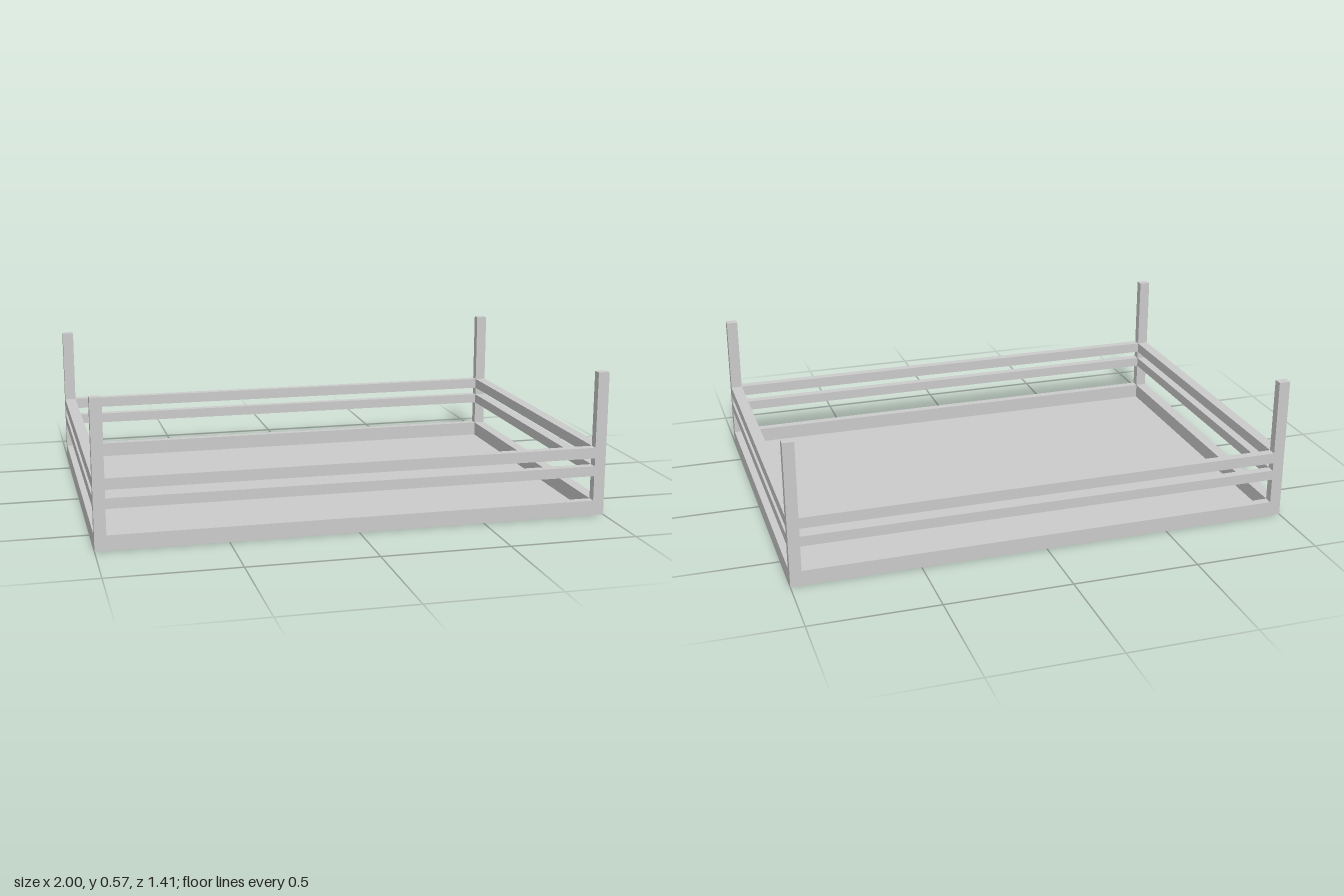
import * as THREE from 'three';

const HX = 1, HZ = 0.707;      // outer half sizes
const TX = 0.045, TZ = 0.035;  // post and rail thickness
const material = new THREE.MeshStandardMaterial({ color: 0xcccccc, side: THREE.DoubleSide });

function rectangle(path, x, z) {
  path.moveTo(-x, -z).lineTo(x, -z).lineTo(x, z).lineTo(-x, z).closePath();
  return path;
}

// Rectangular ring of rails between two heights
function ringGeometry(y0, y1) {
  const shape = rectangle(new THREE.Shape(), HX, HZ);
  shape.holes.push(rectangle(new THREE.Path(), HX - TX, HZ - TZ));
  return new THREE.ExtrudeGeometry(shape, { depth: y1 - y0, bevelEnabled: false })
    .rotateX(-Math.PI / 2).translate(0, y0, 0);
}

// Leaves out the faces lying on the ground, so the ring is open below
function openBelow(geometry) {
  const p = geometry.attributes.position, kept = [];
  for (let i = 0; i < p.count; i += 3) {
    if (Math.max(p.getY(i), p.getY(i + 1), p.getY(i + 2)) < 1e-4) continue;
    for (let j = i; j < i + 3; j++) kept.push(p.getX(j), p.getY(j), p.getZ(j));
  }
  const result = new THREE.BufferGeometry();
  result.setAttribute('position', new THREE.Float32BufferAttribute(kept, 3));
  result.computeVertexNormals();
  return result;
}

export function createModel() {
  const group = new THREE.Group();
  const add = (name, geometry) => {
    const mesh = new THREE.Mesh(geometry, material);
    mesh.name = name;
    group.add(mesh);
    return mesh;
  };

  // Base frame around a thin floor
  add('baseFrame', openBelow(ringGeometry(0, 0.06)));
  add('floor', new THREE.PlaneGeometry(2 * (HX - TX), 2 * (HZ - TZ)).rotateX(-Math.PI / 2));

  // Two rings of guard rails
  add('lowerRails', ringGeometry(0.16, 0.2));
  add('upperRails', ringGeometry(0.232, 0.275));

  // Corner posts
  const top = 0.575, bottom = 0.06;
  for (const sx of [-1, 1]) {
    for (const sz of [-1, 1]) {
      const name = (sz > 0 ? 'front' : 'back') + (sx > 0 ? 'Left' : 'Right') + 'Post';
      add(name, new THREE.BoxGeometry(TX, top - bottom, TZ))
        .position.set(sx * (HX - TX / 2), (top + bottom) / 2, sz * (HZ - TZ / 2));
    }
  }
  return group;
}
